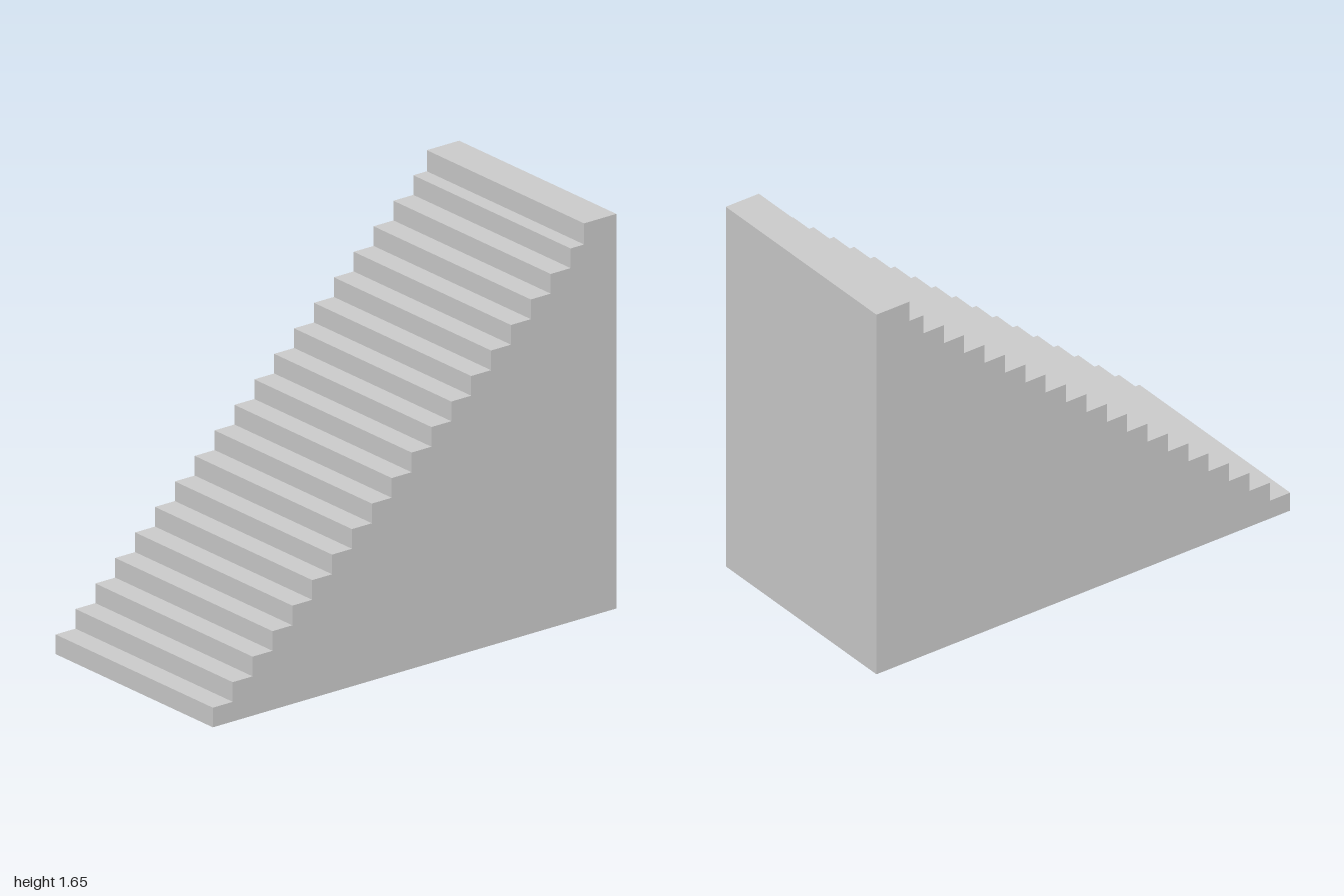
import * as THREE from 'three';

const WIDTH = 0.98;
const STEPS = 19;
const RISE = 0.0821;
const RUN = 0.0985;
const LANDING_Z = -0.84;
const LANDING_Y = 1.648;

export function createModel() {
  const group = new THREE.Group();
  group.name = 'staircase';

  // Side profile: shape x is the model's z, shape y is height
  const profile = new THREE.Shape();
  profile.moveTo(-1, 0);
  profile.lineTo(1, 0);
  for (let i = 0; i < STEPS; i++) {
    const y = (i + 1) * RISE;
    profile.lineTo(1 - i * RUN, y);
    profile.lineTo(i < STEPS - 1 ? 1 - (i + 1) * RUN : LANDING_Z, y);
  }

  // Landing at the top of the flight
  profile.lineTo(LANDING_Z, LANDING_Y);
  profile.lineTo(-1, LANDING_Y);
  profile.closePath();

  // Solid flight, extruded across its width and turned to face +z
  const geometry = new THREE.ExtrudeGeometry(profile, { depth: WIDTH, bevelEnabled: false });
  geometry.translate(0, 0, -WIDTH / 2);
  geometry.rotateY(-Math.PI / 2);

  const material = new THREE.MeshStandardMaterial({ color: 0xcccccc, flatShading: true });
  const flight = new THREE.Mesh(geometry, material);
  flight.name = 'stairFlight';
  group.add(flight);
  return group;
}
